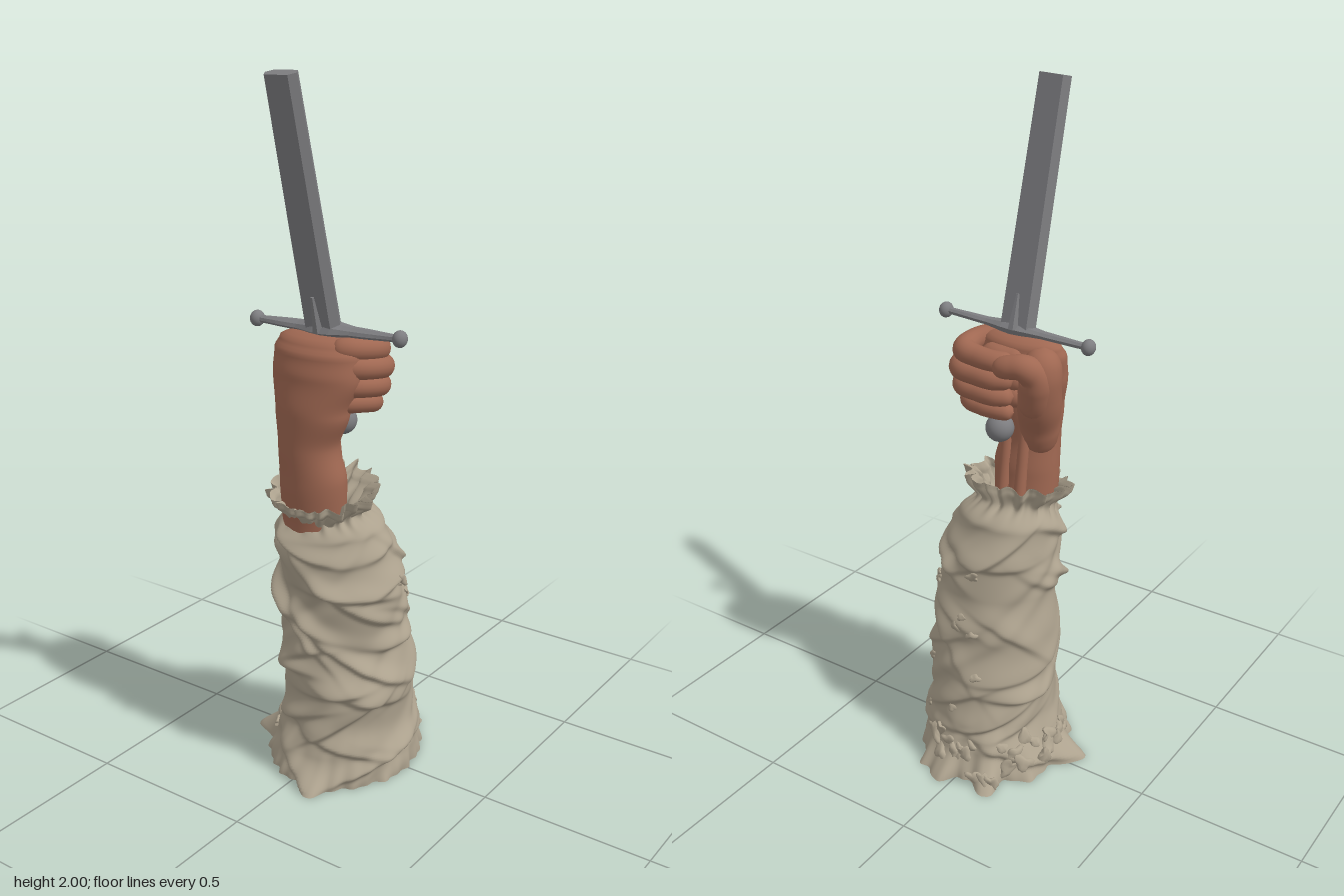
import * as THREE from 'three';

const cloth = new THREE.MeshStandardMaterial({ color: 0xada28e, side: THREE.DoubleSide });
cloth.name = 'linen cloth';
const skin = new THREE.MeshStandardMaterial({ color: 0xa06852 });
skin.name = 'skin';
const steel = new THREE.MeshStandardMaterial({ color: 0x7d7d80 });
steel.name = 'steel';

let seed = 7;
const rand = (lo = 0, hi = 1) => {
  seed = (seed * 16807) % 2147483647;
  return lo + (hi - lo) * (seed / 2147483647);
};
const smooth = (a, b, x) => THREE.MathUtils.smoothstep(x, a, b);
const wrap = (a) => Math.atan2(Math.sin(a), Math.cos(a));

function add(group, name, geometry, material, x = 0, y = 0, z = 0) {
  const mesh = new THREE.Mesh(geometry, material);
  mesh.name = name;
  mesh.position.set(x, y, z);
  group.add(mesh);
  return mesh;
}

// Skin of points fn(angle, t): closed around the angle, open along t
function surface(around, along, fn) {
  const pos = [], index = [];
  for (let j = 0; j <= along; j++) {
    for (let i = 0; i < around; i++) pos.push(...fn((i / around) * Math.PI * 2, j / along));
  }
  for (let j = 0; j < along; j++) {
    for (let i = 0; i < around; i++) {
      const a = j * around + i, b = j * around + ((i + 1) % around);
      index.push(a, a + around, b, b, a + around, b + around);
    }
  }
  const g = new THREE.BufferGeometry();
  g.setAttribute('position', new THREE.Float32BufferAttribute(pos, 3));
  g.setIndex(index);
  g.computeVertexNormals();
  return g;
}

// Smoothly blended row of a table whose first column is the key
function sample(rows, key) {
  let k = 0;
  while (k < rows.length - 2 && key > rows[k + 1][0]) k++;
  const f = smooth(rows[k][0], rows[k + 1][0], key);
  return rows[k].map((v, i) => v + (rows[k + 1][i] - v) * f);
}

// Elliptical loft along y; rows are [y, centre x, centre z, radius x, radius z]
function loft(rows, around, along) {
  const y0 = rows[0][0], y1 = rows[rows.length - 1][0];
  return surface(around, along, (a, t) => {
    const y = y0 + (y1 - y0) * t;
    const [, cx, cz, rx, rz] = sample(rows, y);
    return [cx + rx * Math.cos(a), y, cz + rz * Math.sin(a)];
  });
}

// Round-ended limb along points [x, y, z, radius]
function limb(points, along = 44, around = 18) {
  const curve = new THREE.CatmullRomCurve3(points.map((p) => new THREE.Vector3(p[0], p[1], p[2])));
  const frames = curve.computeFrenetFrames(along, false), length = curve.getLength();
  return surface(around, along, (a, t) => {
    const k = Math.min(t * (points.length - 1), points.length - 1.0001), i = Math.floor(k);
    let r = THREE.MathUtils.lerp(points[i][3], points[i + 1][3], smooth(0, 1, k - i));
    const e = (Math.min(t, 1 - t) * length) / r;
    if (e < 1) r *= Math.sqrt(Math.max(0, 1 - (1 - e) ** 2));
    const n = Math.round(t * along);
    return curve.getPointAt(t)
      .addScaledVector(frames.normals[n], r * Math.cos(a))
      .addScaledVector(frames.binormals[n], -r * Math.sin(a)).toArray();
  });
}

// Sleeve outline: [height along cloth, min x, max x, min z, max z]; turns inward past TOP
const TOP = 0.87;
const OUTLINE = [
  [0, -0.25, 0.245, -0.195, 0.235], [0.08, -0.235, 0.225, -0.185, 0.235], [0.16, -0.21, 0.19, -0.17, 0.235],
  [0.3, -0.22, 0.18, -0.165, 0.24], [0.42, -0.21, 0.155, -0.17, 0.22], [0.55, -0.215, 0.13, -0.15, 0.22],
  [0.68, -0.235, 0.11, -0.15, 0.195], [0.75, -0.215, 0.085, -0.145, 0.175], [0.81, -0.185, 0.02, -0.115, 0.12],
  [0.85, -0.225, 0.035, -0.145, 0.155], [0.87, -0.23, 0.04, -0.15, 0.16], [0.89, -0.215, 0.02, -0.13, 0.14],
  [0.95, -0.19, -0.04, -0.1, 0.1],
];
// Diagonal drapes that overhang on their lower edge
const FOLDS = Array.from({ length: 34 }, (_, i) => ({
  a: rand(-Math.PI, Math.PI), y: 0.03 + (i / 34) * 0.74, slope: rand(-0.15, 0.15),
  bend: rand(-0.04, 0.04), wide: rand(0.4, 1), amp: rand(0.012, 0.03), soft: rand(0.025, 0.055),
}));
// Torn tongues round the hem: [angle, reach, width]
const TONGUES = [[-1.68, 0.075, 0.2], [-1.1, 0.03, 0.22], [-0.52, 0.07, 0.13], [0.1, 0.04, 0.18],
  [0.42, 0.03, 0.14], [2.9, 0.035, 0.13]];

function sleevePoint(a, s) {
  const [, x0, x1, z0, z1] = sample(OUTLINE, s);
  const c = Math.cos(a), n = Math.sin(a);
  let d = -0.013 * smooth(0, 0.1, s);
  for (const f of FOLDS) {
    const t = wrap(a - f.a), h = s - (f.y + f.slope * t + f.bend * t * t);
    d += f.amp * Math.exp(-((t / f.wide) ** 2) - (h / (h > 0 ? f.soft : 0.013)) ** 2);
  }
  d += 0.003 * Math.sin(5 * a + 40 * s + 2 * Math.sin(3 * a + 17 * s));
  d *= 1 - smooth(0.74, 0.82, s);
  const hem = Math.exp(-s / 0.05);
  for (const [ta, reach, w] of TONGUES) d += hem * reach * Math.exp(-(Math.abs(wrap(a - ta) / w) ** 2.6));
  d += hem * 0.004 * (Math.sin(17 * a) + Math.sin(29 * a + 1));
  // gathered cuff
  const cuff = smooth(0.76, 0.86, s) * (1 - smooth(0.89, 0.95, s));
  d += cuff * (0.013 * Math.sin(17 * a + Math.sin(3 * a)) + 0.005 * Math.sin(29 * a));
  const x = (x0 + x1) / 2 + ((x1 - x0) / 2 + d) * c;
  const z = (z0 + z1) / 2 + ((z1 - z0) / 2 + d) * n;
  const y = (s > TOP ? 2 * TOP - s : s) + smooth(0.65, 0.84, s) * (x + 0.1) * 0.2
    + cuff * 0.009 * Math.sin(11 * a + 2 * Math.sin(2 * a));
  return [x, Math.max(0, y), z];
}

// Small curled rag lying on the sleeve
function rag(group, a, s, size) {
  const p = sleevePoint(a, s), k = rand(0, 6), turn = rand(0, 3);
  const g = new THREE.SphereGeometry(1, 14, 10), v = g.attributes.position;
  for (let i = 0; i < v.count; i++) {
    const x = v.getX(i), y = v.getY(i), z = v.getZ(i), q = Math.atan2(y, x);
    const r = size * (1 + 0.25 * Math.sin(3 * q + k) + 0.1 * Math.sin(5 * q));
    v.setXYZ(i, x * r * 1.2, y * r * 0.7, size * (z * 0.4 + 0.4 * Math.sin(2.5 * x + k) * x));
  }
  g.rotateZ(turn);
  g.rotateX(rand(-0.6, 0.2));
  g.rotateY(Math.PI / 2 - a);
  g.translate(...p);
  for (let i = 0; i < v.count; i++) v.setY(i, Math.max(0, v.getY(i)));
  g.computeVertexNormals();
  add(group, 'tornRag', g, cloth);
}

function makeSleeve() {
  const sleeve = new THREE.Group();
  sleeve.name = 'sleeve';
  add(sleeve, 'drapedCloth', surface(180, 170, (a, t) => sleevePoint(a, t * 0.95)), cloth);
  add(sleeve, 'sleeveUnderside', surface(180, 1, (a, t) => sleevePoint(a, 0).map((v) => v * t)), cloth);
  for (const [a, s] of [[1.35, 0.61], [1.25, 0.59], [1.05, 0.55], [0.95, 0.54], [0.1, 0.49], [0.2, 0.46],
    [-0.1, 0.45], [0, 0.62], [0.8, 0.3], [0.7, 0.15], [0.1, 0.2], [-0.3, 0.32]]) rag(sleeve, a, s, rand(0.013, 0.021));
  for (let i = 0; i < 24; i++) rag(sleeve, -1.9 + i * 0.1, rand(0.01, 0.12), rand(0.018, 0.032));
  return sleeve;
}

function makeHand() {
  const hand = new THREE.Group();
  hand.name = 'hand';
  add(hand, 'wristAndPalm', loft([
    [0.76, -0.12, -0.008, 0.08, 0.095], [0.9, -0.128, -0.006, 0.08, 0.1], [1.0, -0.135, -0.015, 0.075, 0.09],
    [1.1, -0.132, -0.004, 0.08, 0.112], [1.2, -0.122, 0.002, 0.078, 0.136], [1.26, -0.112, 0, 0.076, 0.136],
    [1.295, -0.105, -0.003, 0.062, 0.12], [1.312, -0.1, -0.005, 0.035, 0.08], [1.318, -0.1, -0.005, 0.001, 0.001]],
  40, 70), skin);
  // fingers wrap from the knuckles round the grip
  [[1.27, 0.033, 0], [1.22, 0.033, 0.008], [1.168, 0.031, 0.003], [1.12, 0.028, -0.01]].forEach(([y, r, out], i) => {
    add(hand, 'finger', limb([
      [-0.135, y + 0.008, 0.06, r * 0.9], [-0.108, y + 0.01, 0.107 + out, r], [-0.055, y + 0.004, 0.134 + out, r * 0.98],
      [-0.008 + out, y - 0.004, 0.125 + out, r * 1.05], [0.003 + out, y - 0.01, 0.07, r * 0.96],
      [0.002 + out, y - 0.012, 0.02, r * 0.93], [-0.02, y - 0.012, -0.03, r * 0.85]]), skin);
    if (i < 3) add(hand, 'innerFinger', limb([
      [-0.07, y - 0.02, 0.09, r * 1.1], [-0.045, y - 0.02, 0.04, r * 1.2], [-0.06, y - 0.02, -0.05, r * 1.2]]), skin);
  });
  // ball of the thumb and the thumb bent over the index finger
  add(hand, 'thumbBall', limb([
    [-0.125, 0.95, -0.05, 0.045], [-0.1, 1.06, -0.063, 0.058], [-0.07, 1.15, -0.082, 0.063],
    [-0.06, 1.22, -0.092, 0.06], [-0.075, 1.3, -0.09, 0.05]], 50, 24), skin);
  add(hand, 'thumb', limb([
    [-0.075, 1.09, -0.065, 0.046], [-0.045, 1.17, -0.088, 0.051], [-0.025, 1.23, -0.093, 0.048],
    [-0.001, 1.258, -0.07, 0.041], [0.011, 1.255, -0.03, 0.034], [0.012, 1.243, 0.015, 0.028]], 50, 24), skin);
  for (const z of [0.022, -0.035]) {
    add(hand, 'wristTendon', limb([[-0.075, 1.06, z, 0.016], [-0.062, 0.97, z, 0.017], [-0.04, 0.82, z, 0.018]]), skin);
  }
  return hand;
}

function makeSword() {
  const sword = new THREE.Group();
  sword.name = 'sword';
  const flat = (g) => {
    const f = g.toNonIndexed();
    f.computeVertexNormals();
    return f;
  };
  // six-sided blade with broad flats and a cut-off end
  const blade = new THREE.CylinderGeometry(0.88, 1, 0.685, 6), v = blade.attributes.position;
  for (let i = 0; i < v.count; i++) if (Math.abs(v.getZ(i)) < 0.6) v.setZ(i, v.getZ(i) * 1.45);
  blade.scale(0.029, 1, 0.057);
  add(sword, 'blade', flat(blade), steel, 0, 0.3425, -0.003);
  // crossguard tapering to a knob at each end
  const guard = loft([[-0.235, 0, 0, 0.012, 0.01], [-0.1, 0, 0, 0.022, 0.012], [0, 0, 0, 0.038, 0.021],
    [0.1, 0, 0, 0.022, 0.012], [0.235, 0, 0, 0.012, 0.01]], 8, 16);
  guard.rotateX(Math.PI / 2);
  add(sword, 'crossguard', flat(guard), steel, 0, 0, 0.005);
  for (const side of [-1, 1]) {
    add(sword, 'guardKnob', new THREE.SphereGeometry(0.023, 20, 14), steel, 0, 0, 0.005 + side * 0.235).scale.z = 0.85;
    const langet = new THREE.CylinderGeometry(0.005, 0.016, 0.1, 6);
    add(sword, 'langet', flat(langet), steel, side * 0.026, 0.05, -0.003);
  }
  add(sword, 'grip', new THREE.CylinderGeometry(0.022, 0.022, 0.27, 16), steel, 0, -0.14, 0);
  add(sword, 'pommel', new THREE.SphereGeometry(0.041, 24, 18), steel, 0.012, -0.285, 0);
  sword.position.set(-0.1, 1.323, 0.014);
  sword.rotation.set(-0.025, 0, 0.22);
  return sword;
}

export function createModel() {
  const model = new THREE.Group();
  model.name = 'raisedSwordArm';
  model.add(makeSleeve(), makeHand(), makeSword());
  return model;
}
